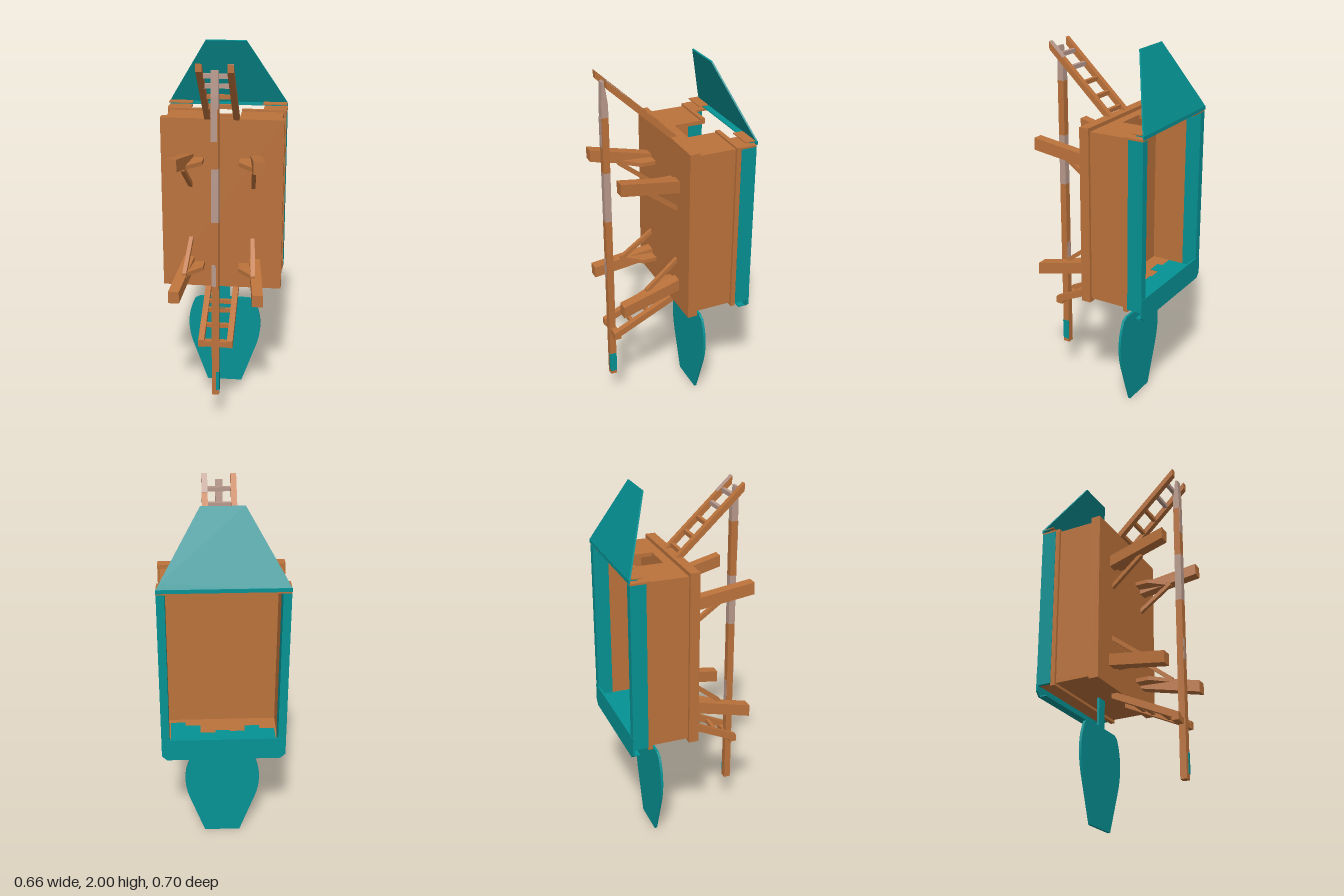
import * as THREE from 'three';

export function createModel() {
  const root = new THREE.Group();
  const wood = new THREE.MeshStandardMaterial({ color: 0xbb723b });
  wood.name = 'wood';
  const teal = new THREE.MeshStandardMaterial({ color: 0x059294, side: THREE.DoubleSide });
  teal.name = 'teal';
  const worn = new THREE.MeshStandardMaterial({ color: 0xb9998c });
  worn.name = 'wornWood';
  const moss = new THREE.MeshStandardMaterial({ color: 0x6f7355 });
  moss.name = 'mossyWood';

  const add = (name, geo, mat, parent = root) => {
    const m = new THREE.Mesh(geo, mat);
    m.name = name;
    parent.add(m);
    return m;
  };
  const group = (name) => {
    const g = new THREE.Group();
    g.name = name;
    root.add(g);
    return g;
  };
  const shape = (pts) => new THREE.Shape(pts.map(([x, y]) => new THREE.Vector2(x, y)));
  const extrude = (s, depth) => new THREE.ExtrudeGeometry(s, { depth, bevelEnabled: false });
  // Box given by its limits on each axis
  const box = (name, x0, x1, y0, y1, z0, z1, mat, parent) => {
    const g = new THREE.BoxGeometry(x1 - x0, y1 - y0, z1 - z0);
    g.translate((x0 + x1) / 2, (y0 + y1) / 2, (z0 + z1) / 2);
    return add(name, g, mat, parent);
  };
  // Slanted beam from a to b whose ends are cut square to z
  const beam = (name, a, b, w, h, mat, parent) => {
    const g = new THREE.BoxGeometry(w, h, 1);
    const p = g.attributes.position;
    for (let i = 0; i < p.count; i++) {
      const t = p.getZ(i) + 0.5;
      p.setXYZ(i,
        p.getX(i) + a[0] + (b[0] - a[0]) * t,
        p.getY(i) + a[1] + (b[1] - a[1]) * t,
        a[2] + (b[2] - a[2]) * t);
    }
    g.computeVertexNormals();
    return add(name, g, mat, parent);
  };

  // Open-backed cabin: floor, walls, and an entry notch in the upper end
  const cabin = group('cabin');
  box('floorFlange', -0.325, 0.325, 0.68, 1.63, -0.035, 0.018, wood, cabin);
  box('floor', -0.3, 0.3, 0.71, 1.6, -0.075, -0.035, wood, cabin);
  box('lowerEndWall', -0.31, 0.31, 0.7, 0.72, -0.335, -0.035, wood, cabin);
  box('lowerEndFlange', -0.325, 0.325, 0.685, 0.7, -0.262, -0.237, wood, cabin);
  box('upperEndSill', -0.31, 0.31, 1.59, 1.61, -0.085, -0.035, wood, cabin);
  for (const s of [-1, 1]) {
    const side = (name, a, b, ...rest) =>
      box(name, Math.min(s * a, s * b), Math.max(s * a, s * b), ...rest, cabin);
    side('sideWall', 0.29, 0.31, 0.7, 1.61, -0.262, -0.035, wood);
    side('sideFlange', 0.31, 0.325, 0.69, 1.62, -0.262, -0.237, wood);
    side('upperEndWall', 0.083, 0.31, 1.59, 1.61, -0.262, -0.035, wood);
    side('upperEndFlange', 0.083, 0.325, 1.61, 1.62, -0.262, -0.237, wood);
    side('upperCornerStrip', 0.2, 0.328, 1.61, 1.62, -0.343, -0.262, wood);
    side('sideRim', 0.285, 0.327, 0.7, 1.61, -0.345, -0.262, teal);
  }

  // Ragged teal lining on the inside of the lower end
  [-0.18, -0.15, -0.2, -0.19, -0.21, -0.14, -0.11].forEach((z, i) => {
    box('lowerLining', -0.28 + i * 0.08, -0.2 + i * 0.08, 0.72, 0.724, -0.335, z, teal, cabin);
  });

  // Teal band across the lower end of the opening, with chamfered lower corners
  const band = shape([[-0.3, 0.645], [0.3, 0.645], [0.326, 0.67], [0.326, 0.77], [-0.326, 0.77], [-0.326, 0.67]]);
  add('lowerBand', extrude(band, 0.01), teal, cabin).position.z = -0.347;
  box('lowerBandLip', -0.3, 0.3, 0.645, 0.652, -0.337, -0.3, teal, cabin);

  // Sloping trapezoid canopy
  const flap = shape([[-0.328, 0], [0.328, 0], [0.31, 0.035], [0.108, 0.395], [-0.108, 0.395], [-0.31, 0.035]]);
  const canopy = add('canopy', extrude(flap, 0.008), teal);
  canopy.position.set(0, 1.635, -0.35);
  canopy.rotation.x = Math.atan2(0.15, 0.365);
  box('canopyHem', -0.328, 0.328, 1.62, 1.64, -0.35, -0.343, teal);
  box('canopyFold', -0.325, 0.325, 1.634, 1.639, -0.343, -0.305, teal);
  for (const s of [-1, 1]) {
    box('canopyFoldCorner', s * 0.26 - 0.065, s * 0.26 + 0.065, 1.639, 1.644, -0.335, -0.28, wood);
  }

  // Paddle-shaped slide plate with its neck
  const slide = new THREE.Shape();
  slide.moveTo(-0.1, 0);
  slide.lineTo(0.1, 0);
  slide.lineTo(0.185, 0.24);
  slide.bezierCurveTo(0.215, 0.33, 0.22, 0.43, 0.17, 0.525);
  slide.lineTo(0.14, 0.54);
  slide.lineTo(-0.14, 0.54);
  slide.lineTo(-0.17, 0.525);
  slide.bezierCurveTo(-0.22, 0.43, -0.215, 0.33, -0.185, 0.24);
  add('slidePlate', extrude(slide, 0.014), teal).position.z = -0.152;
  box('slideNeck', -0.03, 0.03, 0.54, 0.7, -0.152, -0.138, teal);

  // Four splayed legs, each with a diagonal brace and a flat gusset
  const gusset = shape([[0.095, 0.018], [0.16, 0.018], [0.185, 0.18], [0.17, 0.18], [0.095, 0.095]]);
  for (const sx of [-1, 1]) for (const sy of [-1, 1]) {
    const leg = group(`${sy > 0 ? 'upper' : 'lower'}${sx > 0 ? 'Left' : 'Right'}Leg`);
    const y = (d) => 1.1125 + sy * d;
    beam('post', [sx * 0.179, y(0.291), 0.01], [sx * 0.219, y(0.358), 0.35], 0.057, 0.065, wood, leg);
    beam('brace', [sx * 0.167, y(0.15), 0.01], [sx * 0.183, y(0.298), 0.2], 0.022, 0.028, wood, leg);
    const g = extrude(gusset, 0.022);
    g.rotateX(Math.PI / 2);
    const plate = add('gusset', g, wood, leg);
    plate.position.y = y(0.298) + sx * 0.011;
    // Turned over for the other side
    if (sx < 0) plate.rotation.z = Math.PI;
  }

  // Long central ground beam, with weathered lengths and a foot painted on one side
  const pole = group('centralBeam');
  for (const [y0, y1, mat] of [[0.19, 1.18, wood], [1.18, 1.46, worn], [1.46, 1.76, wood]]) {
    box('beamLength', -0.019, 0.019, y0, y1, 0.317, 0.353, mat, pole);
  }
  box('footPaintSide', 0.018, 0.021, 0.21, 0.33, 0.317, 0.353, teal, pole);
  box('footPaintFront', 0.003, 0.021, 0.22, 0.33, 0.352, 0.355, teal, pole);
  box('wornPatchLower', -0.017, 0.004, 0.83, 0.95, 0.352, 0.355, worn, pole);
  box('wornPatchUpper', -0.019, 0.012, 1.6, 1.76, 0.352, 0.355, worn, pole);
  box('wornPatchRear', -0.015, 0.015, 0.7, 0.83, 0.315, 0.318, worn, pole);
  const tip = extrude(shape([[0.317, 1.76], [0.353, 1.76], [0.353, 1.82], [0.347, 1.945], [0.334, 1.945], [0.318, 1.83]]), 0.038);
  tip.rotateY(-Math.PI / 2);
  tip.translate(0.019, 0, 0);
  add('beamTip', tip, worn, pole);

  // Two ladders sloping out from the ends of the cabin
  const ladder = (name, a, b, rungs, wornFrom) => {
    const g = group(name);
    const height = (z) => a[0] + (b[0] - a[0]) * (z - a[1]) / (b[1] - a[1]);
    for (const s of [-1, 1]) {
      beam('rail', [s * 0.076, a[0], a[1]], [s * 0.076, b[0], b[1]], 0.031, 0.04, wood, g);
    }
    for (const z of rungs) {
      const y = height(z);
      box('rung', -0.065, 0.065, y - 0.011, y + 0.011, z - 0.01, z + 0.01, z > wornFrom ? worn : wood, g);
    }
    return { g, height };
  };
  const upper = ladder('upperLadder', [1.595, -0.035], [1.957, 0.35], [0.02, 0.09, 0.16, 0.235, 0.3], 0.2);
  beam('wornRailTop', [0.076, upper.height(0.27) + 0.02, 0.27], [0.076, upper.height(0.35) + 0.02, 0.35],
    0.031, 0.004, worn, upper.g);
  const lower = ladder('lowerLadder', [0.675, -0.03], [0.495, 0.35], [0.085, 0.14, 0.235], 1);
  const mossY = lower.height(0.14) + 0.011;
  box('mossPatch', -0.035, 0.03, mossY, mossY + 0.003, 0.13, 0.15, moss, lower.g);
  box('bottomRung', -0.09, 0.09, 0.475, 0.505, 0.31, 0.345, wood, lower.g);

  return root;
}
